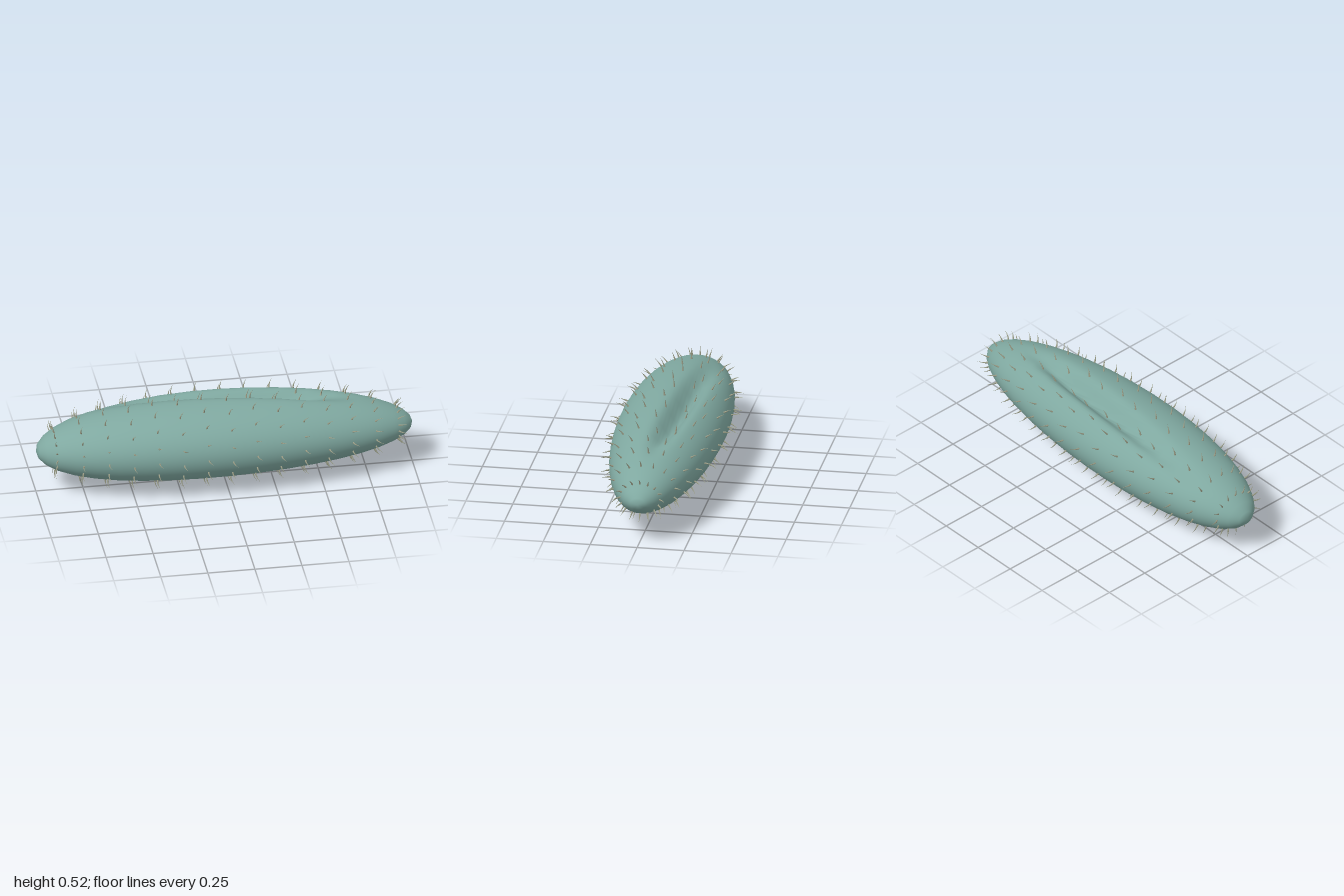
import * as THREE from 'three';
import { mergeGeometries, mergeVertices } from 'three/addons/utils/BufferGeometryUtils.js';

// Maps a point on the unit sphere to the slipper-shaped body surface
function bodyPoint(u) {
  const fat = 1 - 0.08 * u.x;
  const z = u.z * 0.285 * fat;
  let y = 0.238 + 0.022 * (1 - u.x * u.x) + u.y * (0.21 + 0.015 * u.x * u.x) * fat;
  // slanting groove along the top, deepest past the middle
  if (u.y > 0) {
    const centre = -0.085 + 0.08 * u.x + 0.07 * Math.max(u.x, 0) ** 2;
    const along = THREE.MathUtils.smoothstep(u.x, -0.85, 0.15)
      * (1 - THREE.MathUtils.smoothstep(u.x, 0.3, 0.72));
    const across = Math.exp(-(((z - centre) / 0.048) ** 2));
    y -= 0.085 * along * across * Math.min(1, u.y * 2);
  }
  return new THREE.Vector3(u.x, y, z);
}

// Outward direction of the body, ignoring the groove
function bodyNormal(u) {
  return new THREE.Vector3(u.x, u.y / 0.21, u.z / 0.285).normalize();
}

function makeBody(material) {
  const geometry = new THREE.SphereGeometry(1, 112, 20).rotateZ(-Math.PI / 2);
  const pos = geometry.attributes.position;
  const u = new THREE.Vector3();
  for (let i = 0; i < pos.count; i++) {
    const p = bodyPoint(u.fromBufferAttribute(pos, i));
    pos.setXYZ(i, p.x, p.y, p.z);
  }
  // weld the seam so the shading is continuous
  geometry.deleteAttribute('uv');
  geometry.deleteAttribute('normal');
  const welded = mergeVertices(geometry, 1e-5);
  welded.computeVertexNormals();
  const mesh = new THREE.Mesh(welded, material);
  mesh.name = 'body';
  return mesh;
}

// One tapered hair, bent towards its local +x
function makeHair() {
  const length = 0.056;
  const hair = new THREE.ConeGeometry(0.0055, length, 5, 3).translate(0, length / 2 - 0.006, 0);
  const pos = hair.attributes.position;
  for (let i = 0; i < pos.count; i++) {
    const t = Math.max(pos.getY(i), 0) / length;
    pos.setX(i, pos.getX(i) + 0.024 * t * t);
  }
  hair.computeVertexNormals();
  return hair;
}

function makeCilia(material) {
  const hair = makeHair();
  const hairs = [];
  const rings = 15, perRing = 16;
  for (let i = 0; i < rings; i++) {
    const x = -0.905 + 0.13 * i;
    const r = Math.sqrt(1 - x * x);
    for (let j = 0; j < perRing; j++) {
      // alternate rings are slightly twisted
      const a = (j / perRing) * Math.PI * 2 + (i % 2) * 0.1;
      const u = new THREE.Vector3(x, r * Math.cos(a), r * Math.sin(a));
      const up = bodyNormal(u);
      const side = new THREE.Vector3(1, 0, 0).cross(up).normalize();
      const lean = new THREE.Vector3().crossVectors(up, side);
      const m = new THREE.Matrix4().makeBasis(lean, up, side).setPosition(bodyPoint(u));
      hairs.push(hair.clone().applyMatrix4(m));
    }
  }
  const mesh = new THREE.Mesh(mergeGeometries(hairs), material);
  mesh.name = 'cilia';
  return mesh;
}

export function createModel() {
  const group = new THREE.Group();
  group.name = 'ciliate';
  group.add(
    makeBody(new THREE.MeshStandardMaterial({ color: 0x7fa8a0 })),
    makeCilia(new THREE.MeshStandardMaterial({ color: 0x9c9f88 })),
  );
  return group;
}
